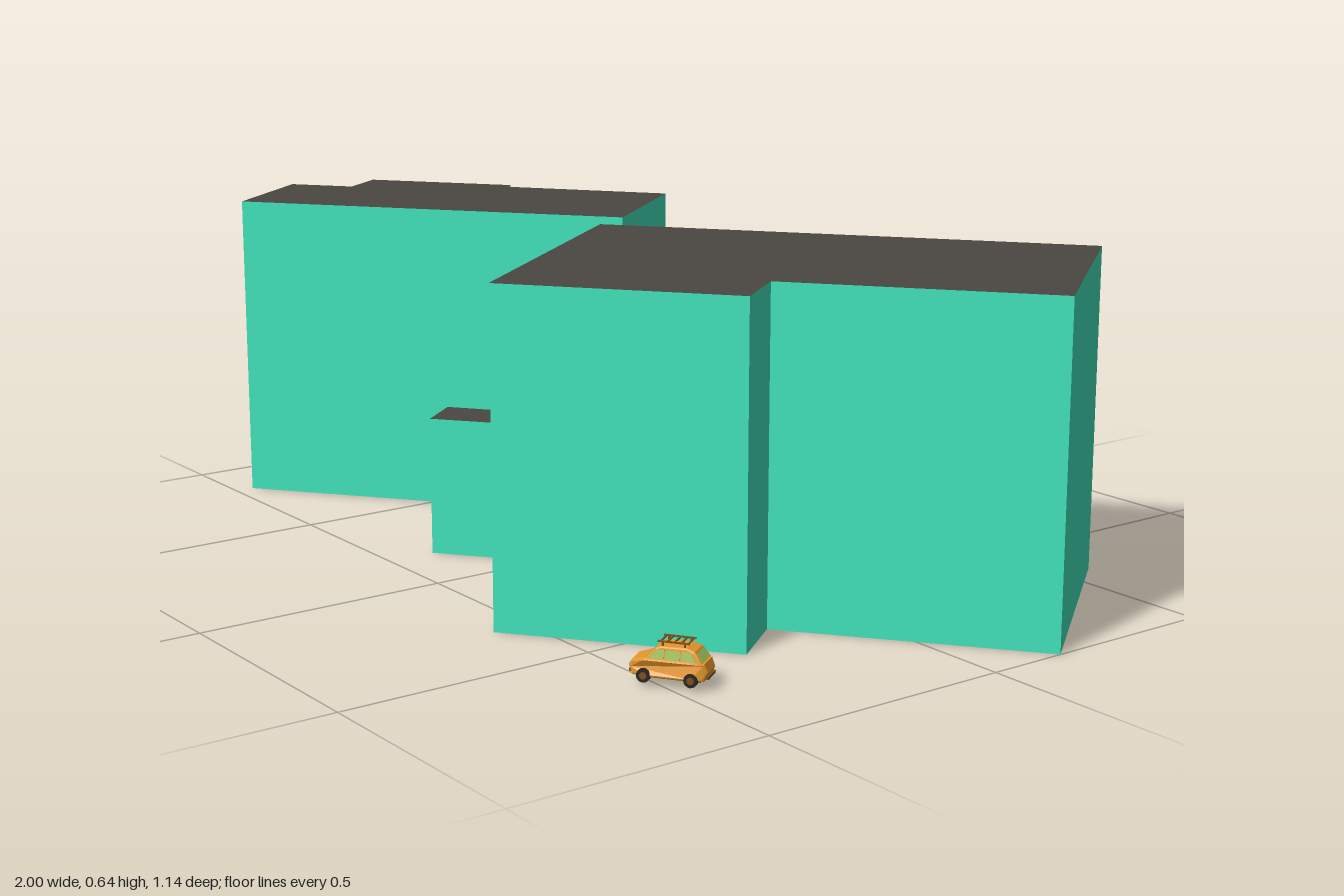
import * as THREE from 'three';

const mat = (name, color, side = THREE.FrontSide) => {
  const m = new THREE.MeshStandardMaterial({ color, side });
  m.name = name;
  return m;
};

export function createModel() {
  const model = new THREE.Group();
  const wall = mat('wall green', 0x40e4bc, THREE.DoubleSide);
  const roof = mat('roof grey', 0x4b4742, THREE.DoubleSide);
  const paint = mat('car orange', 0xe6982c);
  const glass = mat('window green', 0xa0c45c);
  const tyre = mat('tyre black', 0x2b2520);
  const rackBrown = mat('rack brown', 0x7c521e);
  const under = mat('underside green', 0x526a34);

  const add = (parent, name, geometry, material, x = 0, y = 0, z = 0) => {
    const mesh = new THREE.Mesh(geometry, material);
    mesh.name = name;
    mesh.position.set(x, y, z);
    parent.add(mesh);
    return mesh;
  };
  const outline = (points) => new THREE.Shape(points.map(([x, y]) => new THREE.Vector2(x, y)));

  // Buildings: hollow walls around a footprint (x, z), open below, with a flat roof
  const building = (name, height, footprint) => {
    const group = new THREE.Group();
    group.name = name;
    const corners = [];
    footprint.forEach(([ax, az], i) => {
      const [bx, bz] = footprint[(i + 1) % footprint.length];
      corners.push(ax, 0, az, ax, height, az, bx, height, bz);
      corners.push(ax, 0, az, bx, height, bz, bx, 0, bz);
    });
    const walls = new THREE.BufferGeometry();
    walls.setAttribute('position', new THREE.Float32BufferAttribute(corners, 3));
    walls.computeVertexNormals();
    add(group, 'walls', walls, wall);
    const top = new THREE.ShapeGeometry(outline(footprint.map(([x, z]) => [x, -z])));
    add(group, 'roof', top.rotateX(-Math.PI / 2), roof, 0, height);
    model.add(group);
  };
  building('leftBuilding', 0.633, [
    [-0.388, -0.335], [-0.17, -0.062], [-0.832, 0.461], [-1, 0.249],
    [-0.888, 0.161], [-0.955, 0.068], [-0.697, -0.135], [-0.682, -0.113],
  ]);
  building('rightBuilding', 0.637, [
    [0.673, -0.572], [1, -0.157], [0.588, 0.168], [0.675, 0.285], [0.309, 0.573], [-0.106, 0.04],
  ]);
  building('frontShed', 0.275, [[-0.057, 0.177], [0.005, 0.256], [-0.178, 0.402], [-0.243, 0.32]]);
  building('backShed', 0.175, [[-0.226, -0.006], [-0.178, 0.054], [-0.283, 0.136], [-0.33, 0.076]]);

  // Car: front along its own +x
  const car = new THREE.Group();
  car.name = 'car';
  const slab = (points, width, bevel) => new THREE.ExtrudeGeometry(outline(points), {
    depth: width - 2 * bevel, bevelEnabled: true, bevelSize: bevel, bevelThickness: bevel, bevelSegments: 2,
  }).translate(0, 0, bevel - width / 2);
  const narrow = (geometry, rule) => {
    const p = geometry.attributes.position;
    for (let i = 0; i < p.count; i++) p.setZ(i, p.getZ(i) * rule(p.getX(i), p.getY(i)));
    geometry.computeVertexNormals();
    return geometry;
  };
  const cabinTaper = (x, y) => 1 - Math.max(0, y - 0.042) * 7;

  // Lower body, rounded off towards nose and tail
  const lower = slab([
    [-0.064, 0.015], [-0.045, 0.015], [0.045, 0.015], [0.066, 0.015], [0.07, 0.026], [0.066, 0.036],
    [0.045, 0.042], [-0.045, 0.043], [-0.065, 0.041], [-0.07, 0.028],
  ], 0.062, 0.004);
  add(car, 'lowerBody', narrow(lower, (x) => 1 - Math.max(0, Math.abs(x) - 0.05) * 11), paint);

  // Cabin, narrower towards the roof
  const cabin = slab([
    [-0.064, 0.042], [0.042, 0.042], [0.022, 0.063], [0.014, 0.066], [-0.034, 0.067], [-0.048, 0.062],
  ], 0.056, 0.003);
  add(car, 'cabin', narrow(cabin, cabinTaper), paint);

  // Windows
  const sideWindows = [
    [[-0.054, 0.046], [-0.026, 0.046], [-0.026, 0.063], [-0.042, 0.063]],
    [[-0.023, 0.046], [0.004, 0.046], [0.004, 0.063], [-0.023, 0.063]],
    [[0.007, 0.046], [0.035, 0.046], [0.02, 0.063], [0.007, 0.063]],
  ];
  for (const side of [1, -1]) {
    for (const points of sideWindows) {
      const pane = new THREE.ExtrudeGeometry(outline(points), { depth: 0.002, bevelEnabled: false });
      add(car, 'sideWindow', narrow(pane.translate(0, 0, side * 0.0278 - 0.001), cabinTaper), glass);
    }
  }
  add(car, 'windscreen', new THREE.BoxGeometry(0.023, 0.002, 0.042), glass, 0.0342, 0.0547, 0).rotation.z = -0.81;
  add(car, 'rearWindow', new THREE.BoxGeometry(0.002, 0.019, 0.042), glass, -0.0584, 0.0538, 0).rotation.z = -0.675;

  // Wheels, bumpers, lights and underside
  const wheelGeometry = new THREE.CylinderGeometry(0.013, 0.013, 0.01, 16).rotateX(Math.PI / 2);
  const hubGeometry = new THREE.CylinderGeometry(0.007, 0.007, 0.011, 12).rotateX(Math.PI / 2);
  for (const x of [-0.044, 0.045]) {
    for (const z of [-0.027, 0.027]) {
      add(car, 'wheel', wheelGeometry, tyre, x, 0.013, z);
      add(car, 'hub', hubGeometry, rackBrown, x, 0.013, z);
    }
  }
  for (const x of [-0.073, 0.073]) add(car, 'bumper', new THREE.BoxGeometry(0.004, 0.005, 0.042), rackBrown, x, 0.018, 0);
  add(car, 'underside', new THREE.BoxGeometry(0.12, 0.004, 0.046), under, 0, 0.0105, 0);
  for (const z of [-0.016, 0.016]) {
    add(car, 'headlight', new THREE.BoxGeometry(0.003, 0.007, 0.009), glass, 0.073, 0.028, z);
  }

  // Roof rack
  for (const z of [-0.018, 0.018]) {
    add(car, 'rackRail', new THREE.BoxGeometry(0.06, 0.003, 0.003), rackBrown, -0.009, 0.077, z);
    for (const x of [-0.03, 0.012]) {
      add(car, 'rackPost', new THREE.BoxGeometry(0.003, 0.009, 0.003), rackBrown, x, 0.072, z);
    }
  }
  for (let i = 0; i < 5; i++) {
    add(car, 'rackBar', new THREE.BoxGeometry(0.003, 0.002, 0.036), rackBrown, -0.035 + i * 0.013, 0.076, 0);
  }
  car.position.set(0.718, 0.008, 0.48);
  car.scale.setScalar(0.94);
  car.rotation.y = Math.PI + 0.6;
  model.add(car);
  return model;
}
